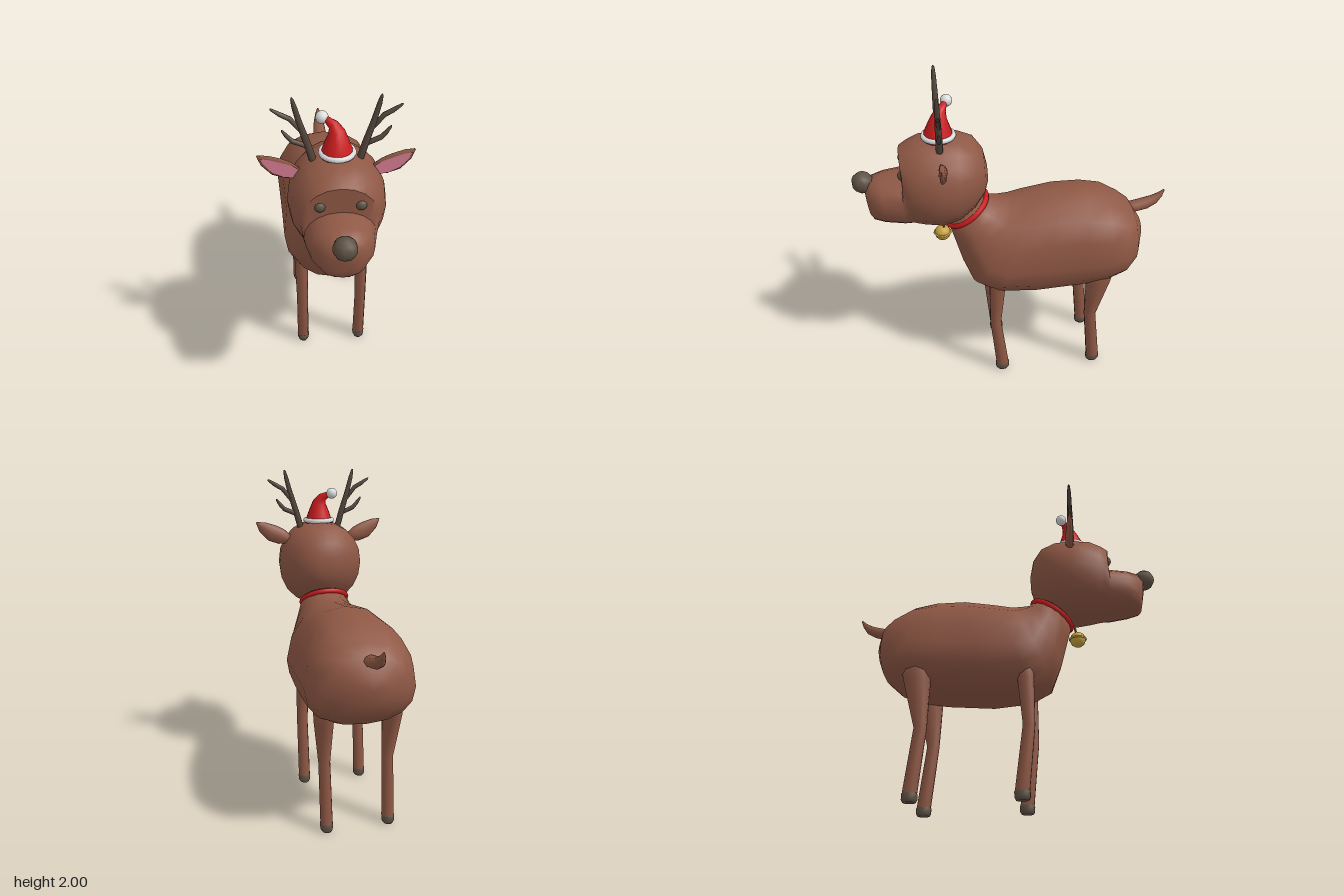
import * as THREE from 'three';
import { toCreasedNormals } from 'three/addons/utils/BufferGeometryUtils.js';

const mat = (name, color, side = THREE.FrontSide) => {
  const m = new THREE.MeshStandardMaterial({ color, side });
  m.name = name;
  return m;
};
const V = (x, y, z) => new THREE.Vector3(x, y, z);

// Closed skin through a list of rings, capped by a centre point at each end
function loft(rings) {
  const n = rings[0].length, pos = [], idx = [];
  rings.forEach(r => r.forEach(p => pos.push(p.x, p.y, p.z)));
  for (let i = 0; i < rings.length - 1; i++)
    for (let j = 0; j < n; j++) {
      const a = i * n + j, b = i * n + (j + 1) % n;
      idx.push(a, b, b + n, a, b + n, a + n);
    }
  [0, rings.length - 1].forEach((k, end) => {
    const c = rings[k].reduce((s, p) => s.add(p), V(0, 0, 0)).divideScalar(n);
    const ci = pos.length / 3;
    pos.push(c.x, c.y, c.z);
    for (let j = 0; j < n; j++) {
      const a = k * n + j, b = k * n + (j + 1) % n;
      end ? idx.push(ci, a, b) : idx.push(ci, b, a);
    }
  });
  // turn the faces outward if the rings wind the other way
  const at = i => V(pos[3 * i], pos[3 * i + 1], pos[3 * i + 2]);
  let volume = 0;
  for (let i = 0; i < idx.length; i += 3) volume += at(idx[i]).dot(at(idx[i + 1]).cross(at(idx[i + 2])));
  if (volume < 0) idx.reverse();
  const g = new THREE.BufferGeometry();
  g.setAttribute('position', new THREE.Float32BufferAttribute(pos, 3));
  g.setIndex(idx);
  g.computeVertexNormals();
  return g;
}

// Ring between a top and a bottom point (z, y); the widest level sits at fraction `mid`
function section([tz, ty, bz, by, w, mid = 0.5, power = 0.95], n) {
  return Array.from({ length: n }, (_, j) => {
    const a = j / n * Math.PI * 2, c = Math.cos(a), s = Math.sin(a);
    const sp = Math.sign(s) * Math.abs(s) ** power, cp = Math.sign(c) * Math.abs(c) ** power;
    const f = mid + (sp > 0 ? sp * (1 - mid) : sp * mid);
    return V(cp * w, by + (ty - by) * f, bz + (tz - bz) * f);
  });
}

// Tapering limb through [x, y, z, radius along ref, other radius]
function limb(points, ref, n = 8) {
  const ps = points.map(p => V(p[0], p[1], p[2]));
  return loft(ps.map((p, i) => {
    const t = ps[Math.min(i + 1, ps.length - 1)].clone().sub(ps[Math.max(i - 1, 0)]).normalize();
    const side = t.clone().cross(ref).normalize(), up = side.clone().cross(t);
    const [, , , ra, rb = ra] = points[i];
    return Array.from({ length: n }, (_, j) => {
      const a = j / n * Math.PI * 2;
      return p.clone().addScaledVector(up, ra * Math.cos(a)).addScaledVector(side, rb * Math.sin(a));
    });
  }));
}

export function createModel() {
  const root = new THREE.Group();
  root.name = 'reindeer';
  const fur = mat('brown fur', 0x8f5845), dark = mat('dark hoof and nose', 0x5e5144);
  const horn = mat('antler brown', 0x54463c), red = mat('red cloth', 0xcc1c1e);
  const white = mat('white trim', 0xdcdcdc), gold = mat('gold bell', 0xc4a040);
  const pink = mat('pink ear', 0xd47c92, THREE.DoubleSide);
  const X = V(1, 0, 0), Z = V(0, 0, 1);
  const add = (name, geo, material, x = 0, y = 0, z = 0) => {
    const m = new THREE.Mesh(geo, material);
    m.name = name;
    m.position.set(x, y, z);
    root.add(m);
    return m;
  };

  // Body from neck to rump: top z, top y, bottom z, bottom y, half width, widest level, roundness
  add('body', loft([
    [0.19, 1.285, 0.41, 1.13, 0.138, 0.5, 1], [0.14, 1.247, 0.375, 1.0, 0.172, 0.45, 1],
    [0.08, 1.24, 0.335, 0.85, 0.212, 0.42, 1], [0.02, 1.238, 0.275, 0.7, 0.255, 0.38, 0.95],
    [-0.06, 1.247, 0.15, 0.64, 0.29, 0.38, 0.9], [-0.25, 1.275, -0.08, 0.62, 0.296, 0.4, 0.85],
    [-0.42, 1.27, -0.38, 0.645, 0.305, 0.4, 0.84], [-0.55, 1.24, -0.55, 0.68, 0.312, 0.4, 0.84],
    [-0.66, 1.175, -0.66, 0.72, 0.285, 0.42, 0.85], [-0.725, 1.13, -0.735, 0.785, 0.225, 0.45, 0.9],
    [-0.785, 1.03, -0.772, 0.87, 0.1],
  ].map(s => section(s, 16))), fur, 0.006);

  // Head: rounded skull, a brow that drops steeply, then the muzzle
  add('head', toCreasedNormals(loft([
    [0.16, 1.48, 0.16, 1.37, 0.06], [0.18, 1.57, 0.18, 1.31, 0.13], [0.235, 1.645, 0.24, 1.23, 0.2],
    [0.32, 1.675, 0.33, 1.16, 0.25], [0.43, 1.68, 0.43, 1.13, 0.264], [0.54, 1.67, 0.53, 1.143, 0.25],
    [0.61, 1.64, 0.57, 1.148, 0.225], [0.655, 1.61, 0.59, 1.15, 0.205], [0.648, 1.463, 0.65, 1.157, 0.19],
    [0.76, 1.448, 0.76, 1.172, 0.165, 0.5, 0.9], [0.828, 1.432, 0.822, 1.183, 0.122, 0.5, 0.85],
    [0.862, 1.39, 0.84, 1.198, 0.08, 0.5, 0.85], [0.866, 1.34, 0.85, 1.25, 0.03],
  ].map(s => section(s, 20))), 0.85), fur);
  add('nose', new THREE.SphereGeometry(0.064, 9, 7), dark, 0, 1.412, 0.872);

  // Tail
  add('tail', limb([[0, 1.095, -0.68, 0.046, 0.032], [0, 1.11, -0.76, 0.043, 0.033],
    [0, 1.124, -0.82, 0.04, 0.035], [0, 1.147, -0.872, 0.031, 0.029], [0, 1.18, -0.908, 0.019, 0.016],
    [0, 1.212, -0.93, 0.005]], X), fur);

  for (const s of [1, -1]) {
    const side = s > 0 ? 'left' : 'right';
    // Legs and hooves
    for (const [end, pts] of [
      ['Front', [[0.185, 0.82, 0.12, 0.045, 0.055], [0.187, 0.7, 0.13, 0.041, 0.05], [0.188, 0.42, 0.145, 0.035, 0.036],
        [0.188, 0.05, 0.105, 0.037, 0.042]]],
      ['Hind', [[0.19, 0.85, -0.51, 0.075, 0.105], [0.2, 0.7, -0.5, 0.058, 0.08], [0.19, 0.42, -0.47, 0.035, 0.038],
        [0.188, 0.05, -0.51, 0.037, 0.042]]],
    ]) {
      add(side + end + 'Leg', limb(pts.map(([x, ...r]) => [x * s, ...r]), X, 10), fur);
      const z = pts[3][2];
      add(side + end + 'Hoof', limb([[0.188 * s, 0, z, 0.03, 0.036], [0.188 * s, 0.015, z, 0.037, 0.045],
        [0.188 * s, 0.045, z, 0.039, 0.046], [0.188 * s, 0.064, z, 0.03, 0.036]], X, 10), dark);
    }

    // Eyes
    add(side + 'Eye', new THREE.SphereGeometry(0.031, 12, 8), dark, 0.105 * s, 1.5, 0.637);

    // Ears: rounded behind, flat in front with a pink plate
    const ear = limb([[0.2, 1.565, 0.425, 0.035, 0.03], [0.25, 1.585, 0.425, 0.035, 0.05],
      [0.31, 1.61, 0.425, 0.03, 0.054], [0.37, 1.65, 0.425, 0.02, 0.034], [0.407, 1.679, 0.425, 0.004]]
      .map(([x, ...r]) => [x * s, ...r]), Z);
    const p = ear.attributes.position;
    for (let i = 0; i < p.count; i++) p.setZ(i, Math.min(p.getZ(i), 0.436));
    ear.computeVertexNormals();
    add(side + 'Ear', ear, fur);
    const leaf = new THREE.Shape([[0.2, 1.6], [0.23, 1.62], [0.3, 1.645], [0.35, 1.662], [0.395, 1.669], [0.375, 1.634],
      [0.332, 1.58], [0.275, 1.552], [0.22, 1.545]].map(([x, y]) => new THREE.Vector2(x * s, y)));
    add(side + 'InnerEar', new THREE.ShapeGeometry(leaf), pink, 0, 0, 0.44);

    // Antlers: one beam with two outer tines
    [
      [[0.122, 1.64, 0.02], [0.15, 1.74, 0.019], [0.187, 1.86, 0.016], [0.21, 1.95, 0.013], [0.219, 1.99, 0.008], [0.221, 2, 0.003]],
      [[0.18, 1.815, 0.012], [0.235, 1.885, 0.014], [0.28, 1.91, 0.013], [0.322, 1.938, 0.007], [0.328, 1.943, 0.002]],
      [[0.148, 1.725, 0.014], [0.225, 1.758, 0.014], [0.25, 1.785, 0.012], [0.272, 1.816, 0.007], [0.276, 1.823, 0.002]],
    ].forEach((b, i) => add(side + (i ? 'Tine' + i : 'Antler'),
      limb(b.map(([x, y, r]) => [x * s, y, 0.425, r]), Z), horn));
  }

  // Hat: bent cone, trim ring and pompom
  add('hat', limb([[0.002, 1.66, 0.425, 0.09], [0.002, 1.7, 0.425, 0.08], [0.002, 1.75, 0.42, 0.061],
    [0, 1.795, 0.413, 0.043], [-0.016, 1.828, 0.4, 0.028], [-0.045, 1.846, 0.382, 0.018],
    [-0.066, 1.853, 0.37, 0.012]], X, 14), red);
  const trim = add('hatTrim', new THREE.TorusGeometry(0.084, 0.015, 8, 24), white, 0.003, 1.684, 0.425);
  trim.rotation.x = Math.PI / 2;
  add('pompom', new THREE.SphereGeometry(0.034, 14, 10), white, -0.07, 1.855, 0.368);

  // Collar with its bell
  const collar = add('collar', new THREE.TorusGeometry(0.144, 0.016, 8, 28), red, 0.004, 1.19, 0.286);
  collar.rotation.x = -0.96;
  add('bell', new THREE.SphereGeometry(0.048, 16, 12), gold, -0.005, 1.015, 0.44);
  const band = add('bellBand', new THREE.TorusGeometry(0.048, 0.007, 6, 20), gold, -0.005, 1.018, 0.44);
  band.rotation.x = Math.PI / 2;
  const loop = add('bellLoop', new THREE.TorusGeometry(0.022, 0.005, 6, 14), gold, -0.005, 1.08, 0.428);
  loop.rotation.x = -0.25;
  return root;
}
